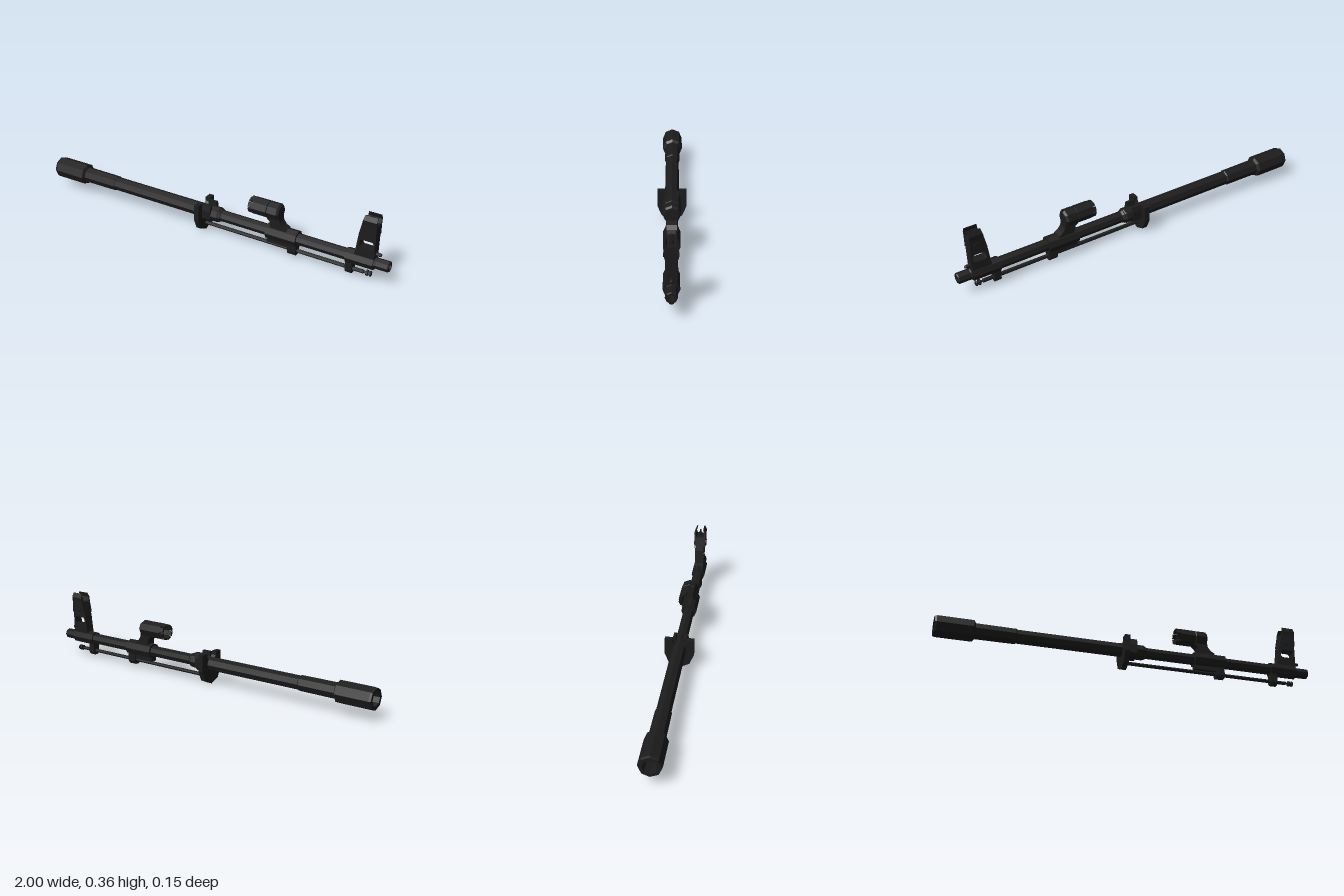
import * as THREE from 'three';

const AXIS = 0.107; // height of the barrel axis

export function createModel() {
  const model = new THREE.Group();
  const steel = new THREE.MeshStandardMaterial({ color: 0x1c1c1c });
  steel.name = 'black steel';

  // Adds a mesh with flat facets
  function add(name, geometry, x = 0, y = 0, z = 0) {
    const flat = geometry.index ? geometry.toNonIndexed() : geometry;
    flat.computeVertexNormals();
    const mesh = new THREE.Mesh(flat, steel);
    mesh.name = name;
    mesh.position.set(x, y, z);
    model.add(mesh);
    return mesh;
  }

  // Turned part along x, profile given as [x, radius]
  function turned(name, profile, y, sides = 8) {
    const points = profile.map(([x, r]) => new THREE.Vector2(r, x));
    return add(name, new THREE.LatheGeometry(points, sides).rotateZ(-Math.PI / 2), 0, y);
  }

  const shapeOf = (pts) => new THREE.Shape(pts.map((p) => new THREE.Vector2(...p)));

  // Cross-section in z and y, extruded along x
  function crossSection(name, pts, x0, x1) {
    const g = new THREE.ExtrudeGeometry(shapeOf(pts), { depth: x1 - x0, bevelEnabled: false });
    return add(name, g.rotateY(Math.PI / 2), x0);
  }

  // Side outline in x and y, extruded symmetrically in z
  function sideOutline(name, pts, width, hole) {
    const shape = shapeOf(pts);
    if (hole) shape.holes.push(new THREE.Path(hole.map((p) => new THREE.Vector2(...p))));
    const g = new THREE.ExtrudeGeometry(shape, { depth: width, bevelEnabled: false });
    return add(name, g, 0, 0, -width / 2);
  }

  // Mirrors the right half of an outline in z
  const mirrored = (half) => [...half, ...half.slice().reverse().filter((p) => p[0] !== 0).map(([z, y]) => [-z, y])];

  // Barrel with chamber and bore
  turned('barrel', [
    [-0.88, 0], [-0.88, 0.032], [-1, 0.036], [-1, 0.053], [-0.99, 0.057], [-0.81, 0.057],
    [-0.8, 0.042], [-0.6, 0.041], [-0.595, 0.037], [-0.03, 0.037], [0.07, 0.037], [0.08, 0.03],
    [0.93, 0.03], [0.935, 0.028], [0.995, 0.028], [1, 0.025], [1, 0.014], [0.95, 0.013], [0.95, 0],
  ], AXIS);

  // Handguard retainer plate, notched around the barrel
  const notch = [[0, 0.125], [0.022, 0.13], [0.034, 0.145], [0.036, 0.165]];
  crossSection('retainerPlate', mirrored([
    ...notch, [0.076, 0.165], [0.076, 0.078], [0.053, 0.024], [0, 0],
  ]), -0.051, -0.024);
  crossSection('retainerBlock', mirrored([
    [0, 0.125], [0.02, 0.13], [0.022, 0.162], [0.036, 0.162], [0.043, 0.13], [0.043, 0.085], [0.025, 0.066], [0, 0.066],
  ]), -0.024, 0.025);
  turned('retainerCollar', [[0.02, 0.03], [0.02, 0.041], [0.06, 0.041], [0.07, 0.034]], AXIS);

  // Gas block: clamp, slanted neck and open socket
  turned('gasBlockClamp', [[0.345, 0.028], [0.345, 0.042], [0.515, 0.042], [0.515, 0.028]], AXIS);
  sideOutline('gasBlockNeck', [
    [0.37, 0.125], [0.46, 0.125], [0.455, 0.147], [0.435, 0.158], [0.42, 0.178],
    [0.413, 0.215], [0.345, 0.215], [0.345, 0.188], [0.362, 0.175],
  ], 0.05);
  turned('gasSocket', [
    [0.36, 0], [0.36, 0.03], [0.268, 0.032], [0.268, 0.045], [0.348, 0.045], [0.35, 0.042],
    [0.353, 0.045], [0.405, 0.045], [0.416, 0.036], [0.416, 0],
  ], 0.227);
  // Castellated rim of the socket
  for (let i = 0; i < 8; i++) {
    const a = ((i + 0.5) * Math.PI) / 4;
    const tooth = add('socketTooth', new THREE.BoxGeometry(0.026, 0.01, 0.024),
      0.259, 0.227 + Math.cos(a) * 0.0365, Math.sin(a) * 0.0365);
    tooth.rotation.x = a;
  }

  // Lugs that carry the cleaning rod
  const lug = mirrored([[0, 0.08], [0.021, 0.08], [0.021, 0.03], [0.012, 0.016], [0, 0.016]]);
  crossSection('rearRodLug', lug, 0.465, 0.512);
  crossSection('frontRodLug', lug, 0.78, 0.815);
  add('gasBlockRib', new THREE.BoxGeometry(0.125, 0.025, 0.036), 0.41, 0.062, 0);

  // Cleaning rod with a slotted head
  turned('cleaningRod', [
    [-0.03, 0], [-0.03, 0.01], [0.87, 0.01], [0.873, 0.006], [0.885, 0.006], [0.885, 0.015], [0.894, 0.015],
    [0.896, 0.01], [0.902, 0.01], [0.904, 0.015], [0.91, 0.013], [0.91, 0],
  ], 0.038);

  // Front sight clamp and plunger
  turned('sightClamp', [[0.78, 0.028], [0.78, 0.038], [0.925, 0.038], [0.925, 0.026]], AXIS);
  turned('plunger', [[0.9, 0], [0.9, 0.009], [0.948, 0.009], [0.954, 0.006], [0.954, 0]], 0.156);

  // Sight tower with a window
  sideOutline('sightTower', [
    [0.822, 0.13], [0.926, 0.13], [0.928, 0.312], [0.854, 0.312], [0.837, 0.235], [0.828, 0.16],
  ], 0.05, [
    [0.846, 0.188], [0.846, 0.214], [0.853, 0.224], [0.91, 0.224],
    [0.918, 0.214], [0.918, 0.188], [0.91, 0.18], [0.853, 0.18],
  ]);
  add('sightDrum', new THREE.CylinderGeometry(0.022, 0.022, 0.07, 10).rotateX(Math.PI / 2), 0.89, 0.271, 0);

  // Curved protecting ears
  for (const s of [1, -1]) {
    const ear = [[0.014, 0.3], [0.031, 0.25], [0.031, 0.312], [0.034, 0.335], [0.023, 0.358],
      [0.018, 0.358], [0.027, 0.335], [0.02, 0.314]].map(([z, y]) => [z * s, y]);
    const mesh = crossSection(s > 0 ? 'rightEar' : 'leftEar', ear, 0.858, 0.928);
    // Lean the rear edge forward toward the top
    const p = mesh.geometry.attributes.position;
    for (let i = 0; i < p.count; i++) {
      if (p.getX(i) < 0.01) p.setX(i, (p.getY(i) - 0.335) * 0.21);
    }
    mesh.geometry.computeVertexNormals();
  }

  // Sight post on its base
  add('postBase', new THREE.CylinderGeometry(0.011, 0.011, 0.03, 8), 0.892, 0.315, 0);
  add('sightPost', new THREE.CylinderGeometry(0.005, 0.005, 0.03, 8), 0.892, 0.335, 0);

  return model;
}
